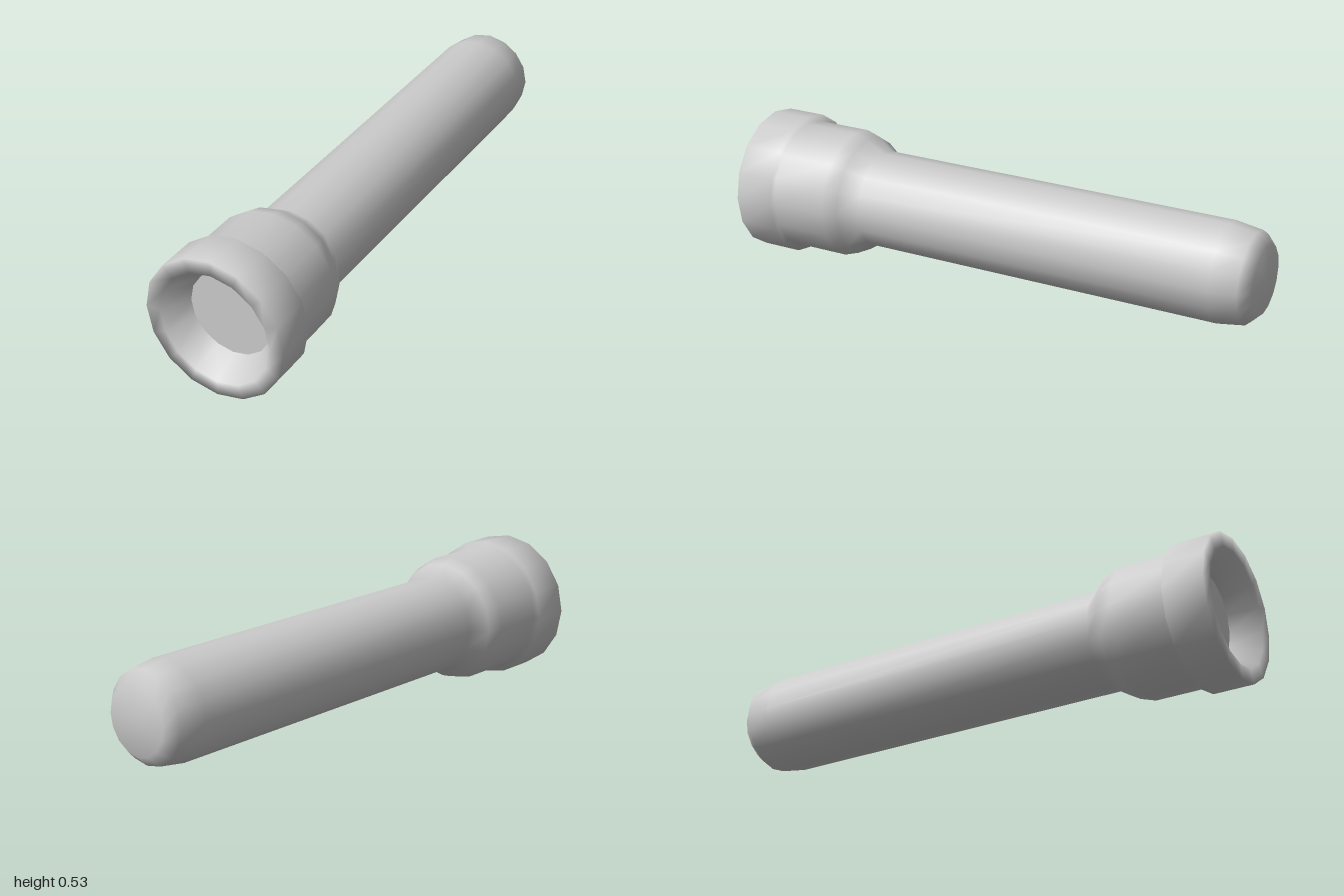
import * as THREE from 'three';
import { mergeVertices } from 'three/addons/utils/BufferGeometryUtils.js';

const SIDES = 16;
const AXIS_Y = 0.265;

// Revolve [radius, z] pairs around the z axis, with normals shared across the whole skin
function turned(name, profile, material) {
  let geo = new THREE.LatheGeometry(profile.map(([r, z]) => new THREE.Vector2(r, z)), SIDES);
  geo.deleteAttribute('uv');
  geo.deleteAttribute('normal');
  geo = mergeVertices(geo, 1e-4);
  geo.rotateX(Math.PI / 2);
  geo.computeVertexNormals();
  const mesh = new THREE.Mesh(geo, material);
  mesh.name = name;
  mesh.position.y = AXIS_Y;
  return mesh;
}

export function createModel() {
  const group = new THREE.Group();
  group.name = 'flashlight';
  const grey = new THREE.MeshStandardMaterial({ color: 0xcccccc });

  // Handle, flared head, bezel ring and reflector, from the tail to the lens
  group.add(turned('casing', [
    [0, -1], [0.125, -1], [0.165, -0.96], [0.18, -0.86], // tail cap
    [0.18, 0.52], [0.222, 0.585], [0.24, 0.64],          // handle and flare
    [0.24, 0.85], [0.265, 0.85], [0.265, 1],             // head and bezel ring
    [0.212, 1], [0.157, 0.9],                            // rim and reflector
  ], grey));

  // Flat lens closing the reflector
  const lens = new THREE.Mesh(new THREE.CircleGeometry(0.157, SIDES), grey);
  lens.name = 'lens';
  lens.position.set(0, AXIS_Y, 0.9);
  group.add(lens);

  return group;
}
